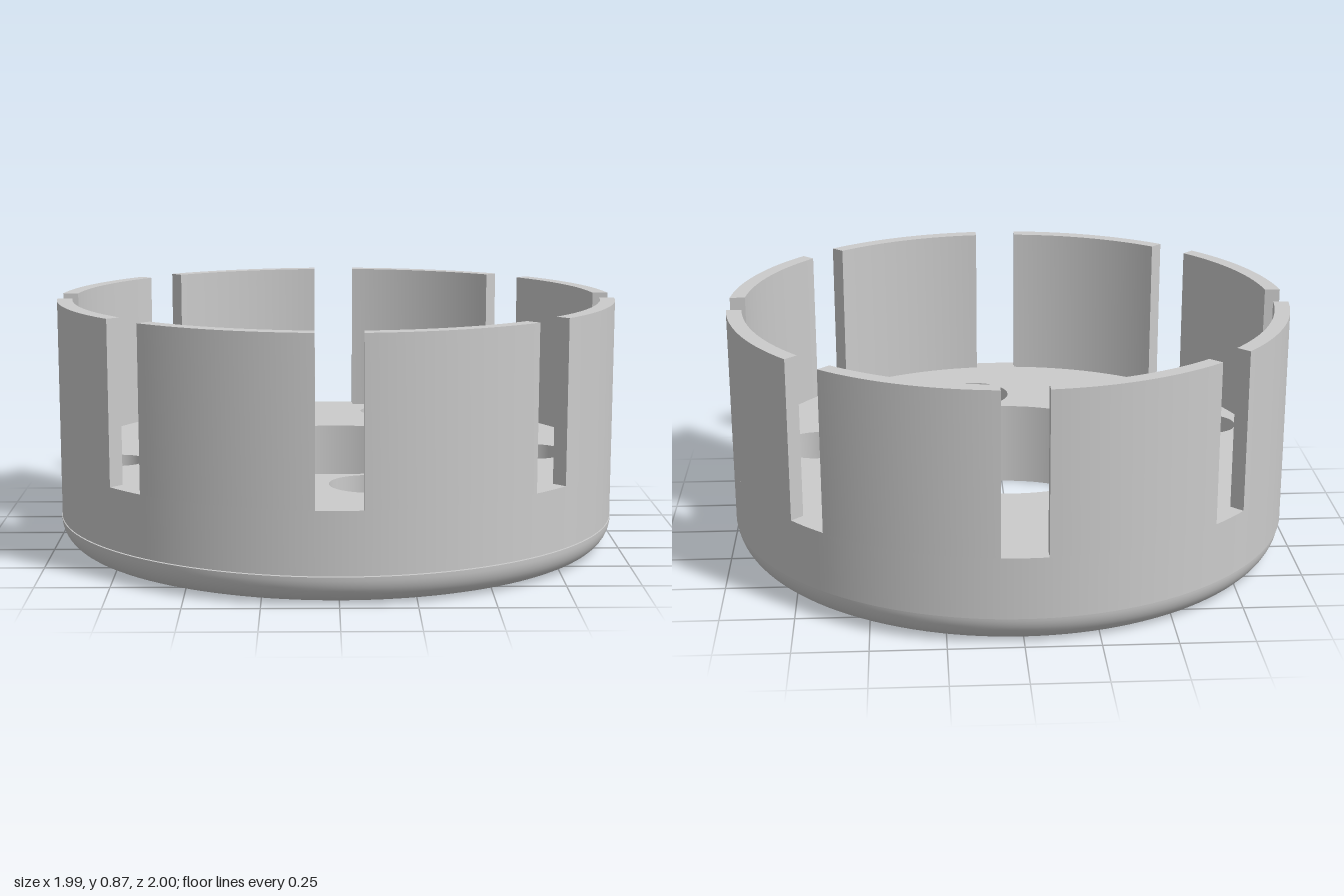
import * as THREE from 'three';
import { toCreasedNormals } from 'three/addons/utils/BufferGeometryUtils.js';

const R = 0.994, INNER = 0.94, FLAT = 0.9; // outer wall, inner wall, flat underside
const FLOOR = 0.312, TOP = 0.873, FILLET = 0.1;
const SLOT = 0.077; // half width of a slot
const SHIFT = 0.012; // the rounded foot sits slightly forward of the wall
const V = (x, y) => new THREE.Vector2(x, y);

export function createModel() {
  const model = new THREE.Group();
  const grey = new THREE.MeshStandardMaterial({ color: 0xcccccc });
  const add = (name, geometry) => {
    const mesh = new THREE.Mesh(geometry, grey);
    mesh.name = name;
    model.add(mesh);
    return mesh;
  };

  // Holes: the centre bore and a pattern repeated every 120 degrees
  const holes = [{ name: 'centreBore', x: 0, z: 0, r: 0.45 }];
  for (let i = 0; i < 3; i++) {
    for (const [deg, dist, r] of [[45, 0.8, 0.098], [5, 0.7, 0.137], [80, 0.61, 0.137]]) {
      const a = THREE.MathUtils.degToRad(deg + i * 120);
      holes.push({ name: 'holeWall', x: dist * Math.cos(a), z: dist * Math.sin(a), r });
    }
  }

  // Pierced disc; zSign matches the way the disc is turned flat
  const disc = (radius, zSign) => {
    const shape = new THREE.Shape().absarc(0, 0, radius, 0, Math.PI * 2, false);
    for (const h of holes) {
      shape.holes.push(new THREE.Path().absarc(h.x, h.z * zSign, h.r, 0, Math.PI * 2, true));
    }
    return new THREE.ShapeGeometry(shape, 64).rotateX(-zSign * -Math.PI / 2);
  };
  add('floorTop', disc(R, -1)).position.y = FLOOR;
  add('floorUnderside', disc(FLAT, 1));

  // Inward-facing walls of the holes
  for (const h of holes) {
    add(h.name, new THREE.LatheGeometry([V(h.r, FLOOR), V(h.r, 0)], 128)).position.set(h.x, 0, h.z);
  }

  // Rounded foot, eased forward towards its rim
  const profile = [];
  for (let i = 0; i <= 12; i++) {
    const a = (i / 12) * Math.PI / 2;
    profile.push(V(FLAT + (R - FLAT) * Math.sin(a), FILLET * (1 - Math.cos(a))));
  }
  const foot = new THREE.LatheGeometry(profile, 128);
  const p = foot.attributes.position;
  for (let i = 0; i < p.count; i++) {
    const r = Math.hypot(p.getX(i), p.getZ(i));
    p.setZ(i, p.getZ(i) + SHIFT * (r - FLAT) / (R - FLAT));
  }
  add('roundedFoot', foot);

  // Thin ledge where the foot meets the wall
  const ledge = new THREE.LatheGeometry([V(R, FILLET), V(R, FILLET)], 128);
  const q = ledge.attributes.position;
  for (let i = 0; i < q.count; i += 2) q.setZ(i, q.getZ(i) + SHIFT);
  add('footLedge', ledge).material = new THREE.MeshStandardMaterial({ color: 0xcccccc, side: THREE.DoubleSide });

  // Outer band of the base
  add('baseBand', new THREE.LatheGeometry([V(R, FILLET), V(R, FLOOR)], 128));

  // Eight upright tabs separated by parallel-sided slots
  const step = Math.PI / 4;
  const outer = Math.asin(SLOT / R), inner = Math.asin(SLOT / INNER);
  const tabShape = new THREE.Shape()
    .absarc(0, 0, R, outer, step - outer, false)
    .absarc(0, 0, INNER, step - inner, inner, true);
  const tab = toCreasedNormals(
    new THREE.ExtrudeGeometry(tabShape, { depth: TOP - FLOOR, bevelEnabled: false, curveSegments: 12 })
      .rotateX(-Math.PI / 2), 0.5);
  for (let i = 0; i < 8; i++) {
    const mesh = add('wallTab', tab);
    mesh.position.y = FLOOR;
    mesh.rotation.y = i * step;
  }

  model.position.z = -SHIFT / 2;
  const root = new THREE.Group();
  root.name = 'slottedCup';
  root.add(model);
  return root;
}
